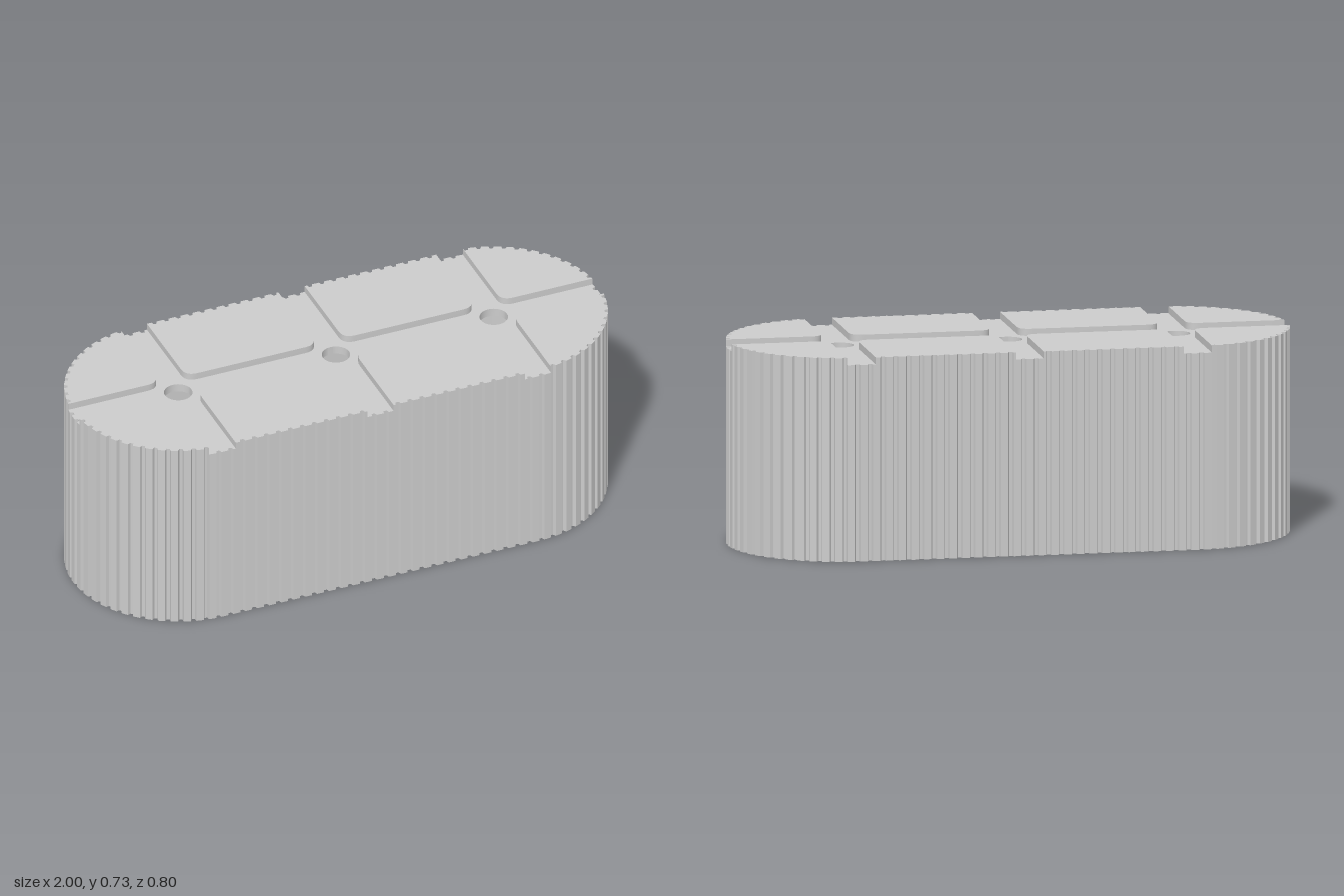
import * as THREE from 'three';
import { toCreasedNormals } from 'three/addons/utils/BufferGeometryUtils.js';

const R = 0.4, HALF = 0.6, INNER = 0.375;       // stadium radius, half straight, cavity radius
const TEETH = 108, DEPTH = 0.012;               // ribs around the wall
const CEILING = 0.67, FLOOR = 0.7, TOP = 0.725; // heights
const GROOVE = 0.05, DRAINS = [-0.6, 0, 0.6];
const V = (x, y) => new THREE.Vector2(x, y);

// Point on a stadium of radius r; t runs 0..1 counter-clockwise from (+x, 0)
function stadium(t, r) {
  const arc = Math.PI * R, straight = 2 * HALF, total = 2 * (arc + straight);
  let s = ((t % 1) + 1) % 1 * total;
  if (s < arc / 2) return V(HALF + r * Math.cos(s / R), r * Math.sin(s / R));
  s -= arc / 2;
  if (s < straight) return V(HALF - s, r);
  s -= straight;
  if (s < arc) return V(-HALF - r * Math.sin(s / R), r * Math.cos(s / R));
  s -= arc;
  if (s < straight) return V(-HALF + s, -r);
  s -= straight;
  return V(HALF + r * Math.sin(s / R), -r * Math.cos(s / R));
}

// Which raised pad a point belongs to ('' inside a groove)
function padAt(p) {
  if (Math.abs(p.y) <= GROOVE || DRAINS.some(c => Math.abs(p.x - c) <= GROOVE)) return '';
  return DRAINS.filter(c => p.x > c).length + (p.y > 0 ? 'a' : 'b');
}

// Ribbed outline, with extra points exactly where grooves cut it
function ribbedOutline() {
  const raw = [];
  for (let i = 0; i < TEETH; i++)
    for (const [f, d] of [[-0.28, 0], [0.28, 0], [0.38, DEPTH], [0.62, DEPTH]])
      raw.push(stadium((i + f) / TEETH, R - d));
  const out = [];
  raw.forEach((a, i) => {
    const b = raw[(i + 1) % raw.length], id = padAt(a);
    out.push({ p: a, id });
    if (id === padAt(b)) return;
    let lo = 0, hi = 1;
    for (let k = 0; k < 30; k++) {
      const m = (lo + hi) / 2;
      if (padAt(a.clone().lerp(b, m)) === id) lo = m; else hi = m;
    }
    out.push({ p: a.clone().lerp(b, lo), id: id || padAt(b) });
  });
  return out;
}

// Inner edge of a pad, from one outline cut to the other, with rounded corners
function innerEdge(id, start, end) {
  const y = id[1] === 'a' ? GROOVE : -GROOVE, n = +id[0], xs = [];
  if (n > 0) xs.push(DRAINS[n - 1] + GROOVE);
  if (n < 3) xs.push(DRAINS[n] - GROOVE);
  const corners = xs.map(x => V(x, y)).sort((a, b) => a.distanceTo(start) - b.distanceTo(start));
  const line = [start, ...corners, end], path = [start];
  corners.forEach((c, i) => {
    const a = c.clone().add(line[i].clone().sub(c).setLength(0.045));
    const b = c.clone().add(line[i + 2].clone().sub(c).setLength(0.045));
    path.push(...new THREE.QuadraticBezierCurve(a, c, b).getPoints(6));
  });
  return [...path, end];
}

// Upright wall along a closed loop
function wall(loop, y0, y1, inward = false) {
  const pos = [];
  loop.forEach((a, i) => {
    let b = loop[(i + 1) % loop.length], c = a;
    if (a.distanceTo(b) < 1e-6) return;
    if (inward) [c, b] = [b, c];
    pos.push(c.x, y0, -c.y, b.x, y0, -b.y, b.x, y1, -b.y,
      c.x, y0, -c.y, b.x, y1, -b.y, c.x, y1, -c.y);
  });
  const g = new THREE.BufferGeometry();
  g.setAttribute('position', new THREE.Float32BufferAttribute(pos, 3));
  g.computeVertexNormals();
  return toCreasedNormals(g, 0.45);
}

// Flat face at height y, looking up or down
function face(loop, holes, y, down = false) {
  const shape = new THREE.Shape(loop);
  shape.holes = holes.map(h => new THREE.Path(h));
  return new THREE.ShapeGeometry(shape).rotateX(down ? Math.PI / 2 : -Math.PI / 2).translate(0, y, 0);
}

export function createModel() {
  const model = new THREE.Group();
  model.name = 'planter';
  const material = new THREE.MeshStandardMaterial({ color: 0xcccccc, side: THREE.DoubleSide });
  const add = (name, geometry) => {
    const mesh = new THREE.Mesh(geometry, material);
    mesh.name = name;
    model.add(mesh);
  };

  const outline = ribbedOutline();
  const outer = outline.map(o => o.p);
  const inner = Array.from({ length: 160 }, (_, i) => stadium(i / 160, INNER));
  const drains = DRAINS.map(c => Array.from({ length: 32 }, (_, i) => {
    const a = i / 32 * Math.PI * 2;
    return V(c + 0.05 * Math.cos(a), 0.05 * Math.sin(a));
  }));

  // Shell: ribbed outside, smooth cavity open at the bottom
  add('ribbedWall', wall(outer, 0, FLOOR));
  add('cavityWall', wall(inner, 0, CEILING, true));
  add('rim', face(outer, [inner], 0, true));
  add('cavityCeiling', face(inner, drains, CEILING, true));
  drains.forEach(d => add('drainHole', wall(d, CEILING, FLOOR, true)));

  // Raised pads; the groove floor takes their inner edges as its border
  const floor = [];
  for (let i = 0; i < outline.length;) {
    const { id, p } = outline[i];
    if (!id) { floor.push(p); i++; continue; }
    const run = [];
    while (i < outline.length && outline[i].id === id) run.push(outline[i++].p);
    const edge = innerEdge(id, run[0], run[run.length - 1]);
    floor.push(...edge);
    const pad = [...run, ...edge.slice(1, -1).reverse()];
    add('padTop', face(pad, [], TOP));
    add('padSide', wall(pad, FLOOR, TOP));
  }
  add('grooveFloor', face(floor, drains, FLOOR));
  return model;
}
